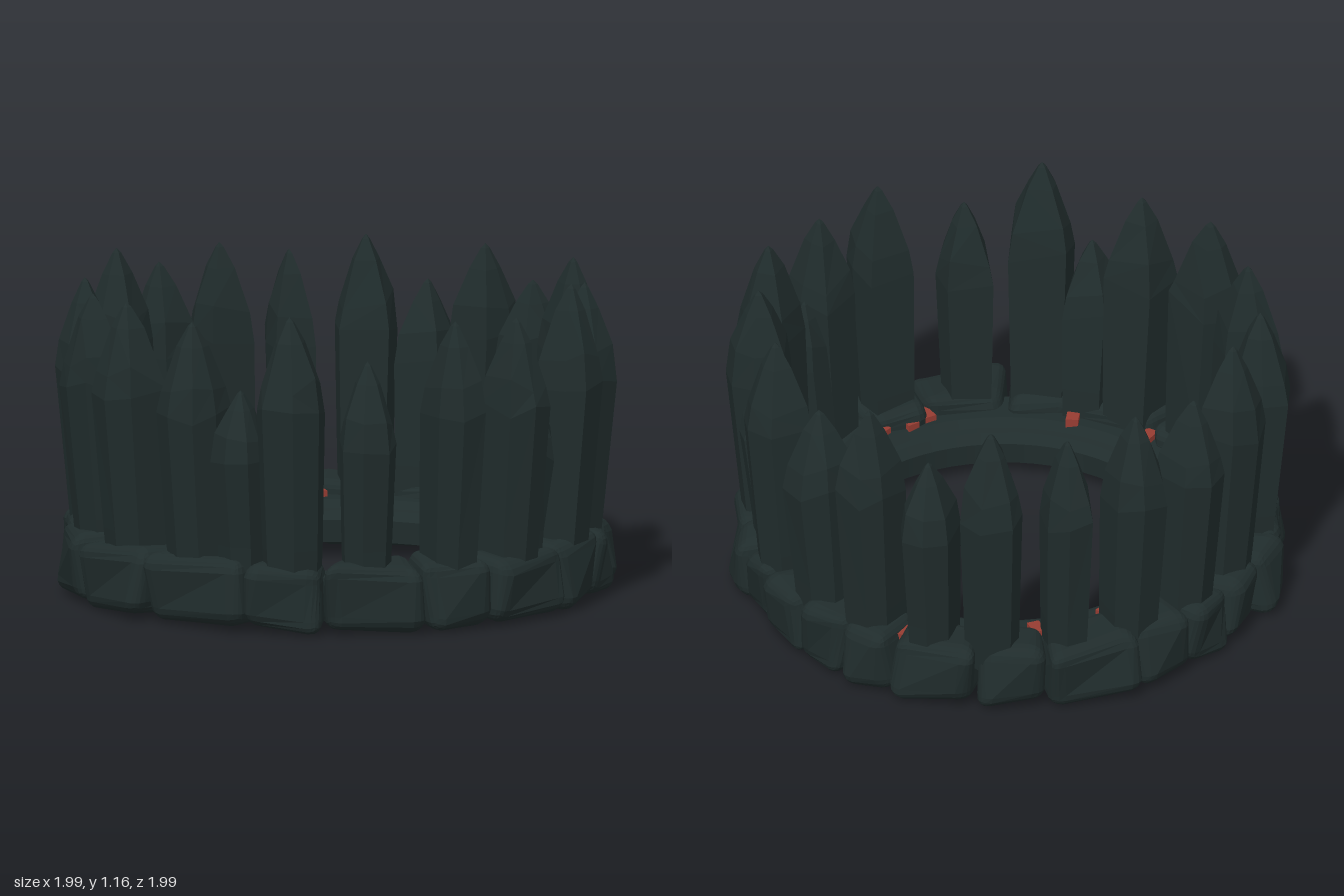
import * as THREE from 'three';
import { RoundedBoxGeometry } from 'three/addons/geometries/RoundedBoxGeometry.js';

const stone = new THREE.MeshStandardMaterial({ color: 0x202c2c, flatShading: true });
stone.name = 'dark stone';
const ringStone = new THREE.MeshStandardMaterial({ color: 0x202c2c });
ringStone.name = 'smooth dark stone';
const ember = new THREE.MeshStandardMaterial({ color: 0x963c32 });
ember.name = 'ember red';

// Small seeded random numbers
let seed = 7;
const rand = () => (seed = (seed * 16807) % 2147483647) / 2147483647;
const vary = (a) => (rand() * 2 - 1) * a;

// Stakes: tip x, tip z, height, width
const STAKES = [
  [0.14, -0.87, 1.10, 0.19], [0.39, -0.79, 1.06, 0.17], [0.62, -0.64, 1.11, 0.20],
  [0.76, -0.46, 0.96, 0.17], [0.85, -0.24, 1.11, 0.19], [0.88, 0.0, 1.01, 0.20],
  [0.84, 0.29, 1.14, 0.20], [0.74, 0.47, 0.89, 0.12], [0.64, 0.62, 1.12, 0.19],
  [0.46, 0.78, 1.16, 0.20], [0.25, 0.83, 0.82, 0.11], [0.13, 0.89, 1.09, 0.17],
  [-0.15, 0.90, 1.11, 0.19], [-0.45, 0.78, 0.98, 0.18], [-0.67, 0.61, 1.14, 0.21],
  [-0.76, 0.44, 0.86, 0.17], [-0.84, 0.26, 1.09, 0.20], [-0.89, -0.06, 1.12, 0.21],
  [-0.82, -0.35, 1.10, 0.20], [-0.65, -0.62, 1.10, 0.20], [-0.38, -0.79, 1.15, 0.20],
  [-0.13, -0.87, 1.06, 0.18],
];

// Directions of the joints between foundation stones, in degrees from the front
const JOINTS = [-2, 20, 38, 53, 64, 76, 89, 102, 114, 133, 148, 169, 183, 196, 209, 221, 235, 256, 278, 303, 320, 342];

// Red chinks in the joints: x, z
const EMBERS = [
  [-0.04, -0.72], [0.14, -0.71], [-0.35, -0.63], [-0.5, -0.6], [-0.62, -0.44], [-0.82, -0.21],
  [-0.75, -0.17], [-0.74, 0.11], [-0.62, 0.38], [-0.67, 0.46], [-0.23, 0.73], [-0.15, 0.73],
  [-0.04, 0.76], [0.27, 0.71], [0.3, 0.79], [0.46, 0.59], [0.6, 0.46], [0.75, 0.19],
  [0.7, -0.15], [0.77, -0.35], [0.52, -0.49], [0.4, -0.63],
];

// Uneven six-sided section: across, outward
const SECTION = [[-0.47, -0.48], [-0.5, 0.25], [-0.12, 0.52], [0.36, 0.45], [0.5, 0.05], [0.42, -0.5]];

// Hewn stake lofted from a few scaled sections, closed by a pointed cap
function stakeGeometry(x, z, h, w) {
  const angle = Math.atan2(x, z), r = Math.hypot(x, z);
  const out = [Math.sin(angle), Math.cos(angle)];
  const side = [out[1], -out[0]];
  const flip = rand() < 0.5 ? -1 : 1;
  const depth = Math.min(0.2, w + 0.04);
  const sec = SECTION.map(([a, b]) => [a + vary(0.04), b + vary(0.04)]);
  // height, scale, distance from the centre
  const levels = [
    [0.14, 0.88, r - 0.045], [0.3, 0.94, r - 0.035], [h * 0.7, 1.06, r],
    [h * 0.79, 0.92, r], [h * 0.92, 0.46, r], [h * 0.985, 0.13, r],
  ];
  const n = sec.length, pos = [], index = [];
  levels.forEach(([y, s, d], k) => sec.forEach(([a, b]) => {
    const u = a * flip * w * s, v = d + b * s * depth;
    const dy = k === 2 || k === 3 ? vary(0.03) : 0;
    pos.push(side[0] * u + out[0] * v, y + dy, side[1] * u + out[1] * v);
  }));
  const tip = levels.length * n;
  pos.push(x, h, z);
  const tri = (a, b, c) => (flip > 0 ? index.push(a, b, c) : index.push(a, c, b));
  for (let k = 0; k < levels.length; k++) {
    for (let i = 0; i < n; i++) {
      const a = k * n + i, b = k * n + (i + 1) % n;
      if (k === levels.length - 1) tri(a, b, tip);
      else { tri(a, b, b + n); tri(a, b + n, a + n); }
    }
  }
  for (let i = 1; i < n - 1; i++) tri(0, i + 1, i);
  const g = new THREE.BufferGeometry();
  g.setAttribute('position', new THREE.Float32BufferAttribute(pos, 3));
  g.setIndex(index);
  g.computeVertexNormals();
  return g;
}

// Lumpy wedge-shaped foundation stone, wider on its outer side
function rockGeometry(w, h, d) {
  const g = new RoundedBoxGeometry(w, h, d, 2, 0.05);
  const p = g.attributes.position;
  const a = rand() * 6, b = rand() * 6, c = rand() * 6;
  for (let i = 0; i < p.count; i++) {
    const x = p.getX(i), y = p.getY(i), z = p.getZ(i);
    p.setXYZ(i,
      x * (1 + 1.1 * z) + 0.01 * Math.sin(17 * y + 13 * z + a),
      y + 0.01 * Math.sin(14 * x + 11 * z + b),
      z * (1 - 0.35 * y) + 0.018 * Math.sin(15 * x - 16 * y + c));
  }
  g.computeVertexNormals();
  return g;
}

// Closed ring turned from a profile of [radius, height]
function ring(name, profile, material) {
  const pts = [...profile, profile[0]].map(([r, y]) => new THREE.Vector2(r, y));
  // separate bands keep each profile edge sharp
  const group = new THREE.Group();
  group.name = name;
  for (let i = 0; i < pts.length - 1; i++) {
    const band = new THREE.Mesh(new THREE.LatheGeometry([pts[i], pts[i + 1]], 64), material);
    band.name = name + 'Face';
    group.add(band);
  }
  return group;
}

export function createModel() {
  const model = new THREE.Group();
  model.name = 'stakeRing';

  // Stepped inner kerb, running on beneath the stones
  const kerb = ring('innerKerb', [
    [0.61, 0.05], [0.83, 0.04], [0.83, 0.19], [0.69, 0.19], [0.66, 0.165], [0.635, 0.16], [0.605, 0.13],
  ], ringStone);
  kerb.position.z = 0.025;
  model.add(kerb);

  // Red chinks poking through the kerb in the joints
  const embers = new THREE.Group();
  embers.name = 'emberChinks';
  for (const [x, z] of EMBERS) {
    const chink = new THREE.Mesh(new THREE.BoxGeometry(0.045, 0.18, 0.07), ember);
    chink.name = 'emberChink';
    chink.position.set(x, 0.122, z);
    chink.rotation.y = Math.atan2(x, z) + vary(0.4);
    embers.add(chink);
  }
  model.add(embers);

  // Foundation stones, one between each pair of joints
  const rocks = new THREE.Group();
  rocks.name = 'foundationStones';
  JOINTS.forEach((start, i) => {
    const end = i + 1 < JOINTS.length ? JOINTS[i + 1] : JOINTS[0] + 360;
    const angle = THREE.MathUtils.degToRad((start + end) / 2);
    const span = THREE.MathUtils.degToRad(end - start);
    const h = 0.235 + vary(0.012);
    const rock = new THREE.Mesh(rockGeometry(0.85 * span + 0.002, h, 0.235 + vary(0.015)), stone);
    rock.name = 'foundationStone';
    const r = 0.852 + vary(0.012);
    rock.position.set(Math.sin(angle) * r, h / 2 + 0.01, Math.cos(angle) * r);
    rock.rotation.y = angle + vary(0.04);
    rocks.add(rock);
  });
  model.add(rocks);

  // Pointed stakes
  const stakes = new THREE.Group();
  stakes.name = 'stakes';
  for (const s of STAKES) {
    const stake = new THREE.Mesh(stakeGeometry(...s), stone);
    stake.name = 'stake';
    stakes.add(stake);
  }
  model.add(stakes);
  return model;
}
